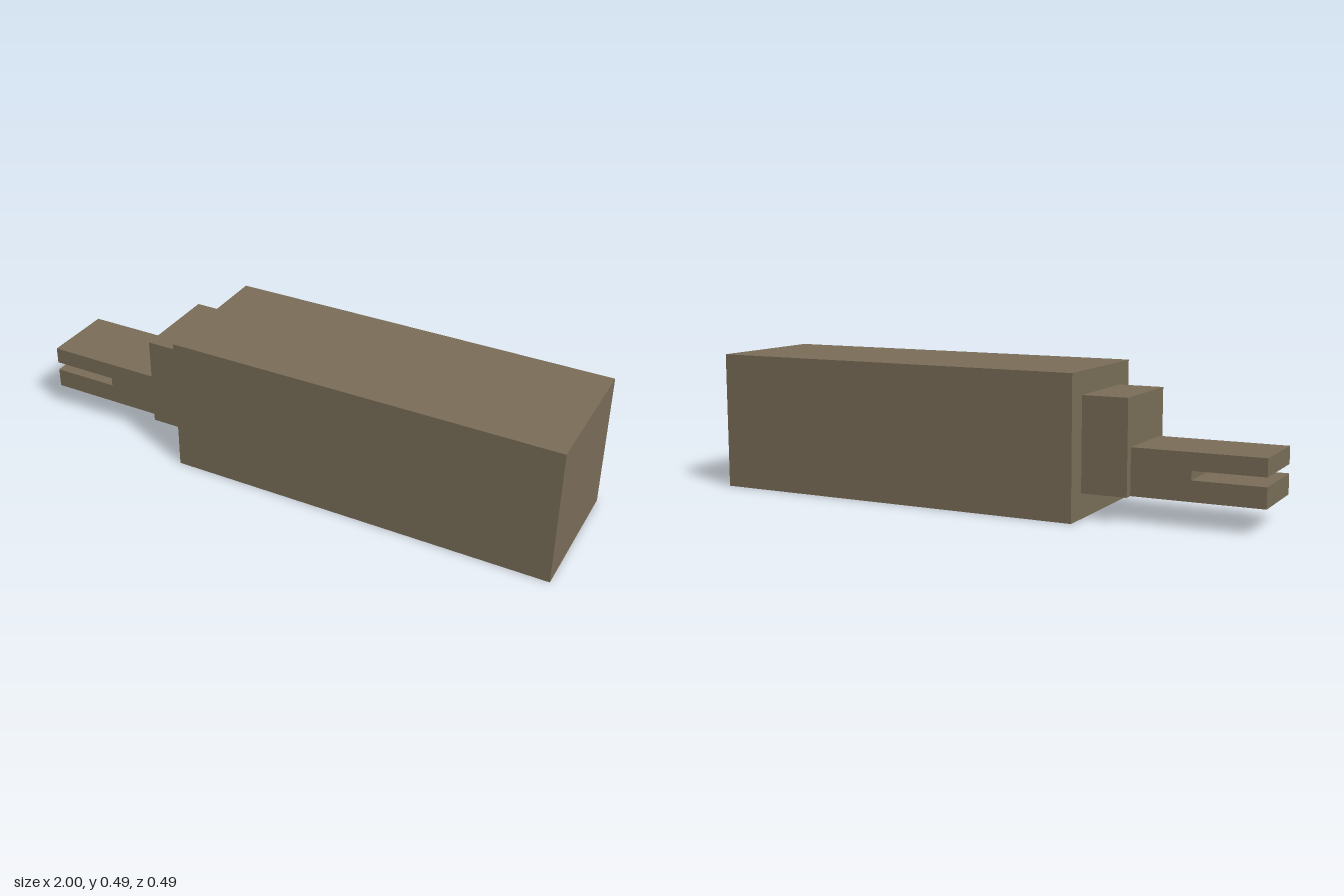
import * as THREE from 'three';

export function createModel() {
  const model = new THREE.Group();
  const brown = new THREE.MeshStandardMaterial({ color: 0x7b6e59 });
  brown.name = 'dull brown';

  // Adds a box given by its lower and upper limits on each axis
  function addBox(name, [x0, x1], [y0, y1], [z0, z1]) {
    const mesh = new THREE.Mesh(new THREE.BoxGeometry(x1 - x0, y1 - y0, z1 - z0), brown);
    mesh.position.set((x0 + x1) / 2, (y0 + y1) / 2, (z0 + z1) / 2);
    mesh.name = name;
    model.add(mesh);
  }

  // Large block and the stepped collar on its end
  addBox('body', [-0.39, 0.997], [0, 0.491], [-0.245, 0.244]);
  addBox('collar', [-0.55, -0.39], [0.087, 0.412], [-0.165, 0.16]);

  // Tongue with a slot cut through from side to side
  const profile = new THREE.Shape([
    [-1, 0.087], [-0.55, 0.087], [-0.55, 0.248], [-1, 0.248],
    [-1, 0.188], [-0.755, 0.188], [-0.755, 0.157], [-1, 0.157],
  ].map(([x, y]) => new THREE.Vector2(x, y)));
  const tongue = new THREE.Mesh(
    new THREE.ExtrudeGeometry(profile, { depth: 0.262, bevelEnabled: false }), brown);
  tongue.position.z = -0.134;
  tongue.name = 'slottedTongue';
  model.add(tongue);

  return model;
}
